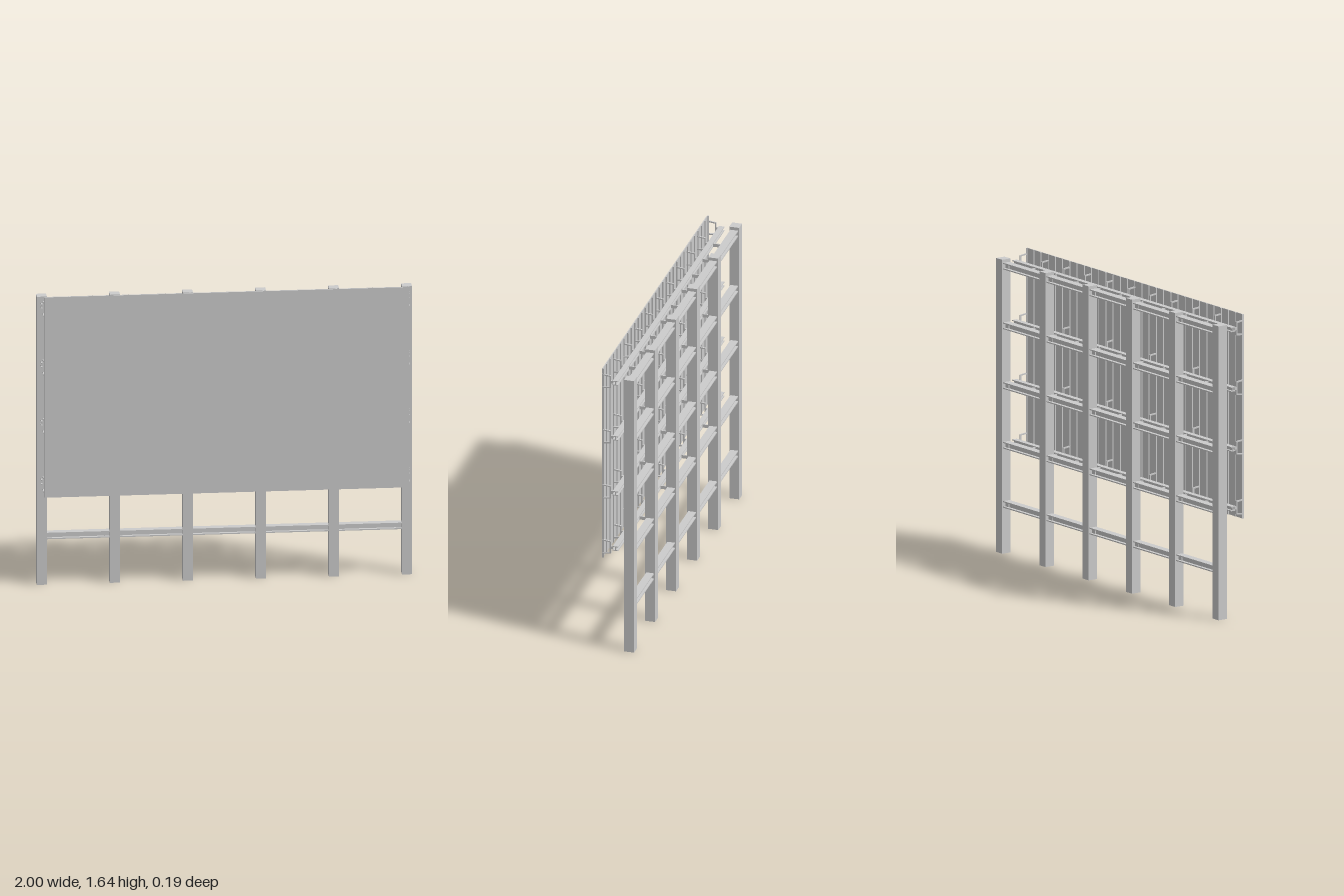
import * as THREE from 'three';

const material = new THREE.MeshStandardMaterial({ color: 0xcccccc, flatShading: true });

export function createModel() {
  const model = new THREE.Group();

  const add = (geometry, name, x, y, z) => {
    const mesh = new THREE.Mesh(geometry, material);
    mesh.name = name;
    mesh.position.set(x, y, z);
    model.add(mesh);
    return mesh;
  };
  const box = (name, w, h, d, x, y, z) => add(new THREE.BoxGeometry(w, h, d), name, x, y, z);

  // Section drawn in (z, y), extruded along x and centred
  const alongX = (points, length) => {
    const shape = new THREE.Shape(points.map(([z, y]) => new THREE.Vector2(-z, y)));
    return new THREE.ExtrudeGeometry(shape, { depth: length, bevelEnabled: false })
      .translate(0, 0, -length / 2)
      .rotateY(Math.PI / 2);
  };

  // I-section with flanges at top and bottom
  const iBeam = (length, depth, height, t) => {
    const d = depth / 2, h = height / 2, w = t / 2;
    return alongX([
      [-d, -h], [d, -h], [d, -h + t], [w, -h + t], [w, h - t], [d, h - t],
      [d, h], [-d, h], [-d, h - t], [-w, h - t], [-w, -h + t], [-d, -h + t],
    ], length);
  };

  const bay = 0.3892, postWidth = 0.054, postZ = -0.0655;
  const railLevels = [0.59, 0.915, 1.24, 1.565];

  // Posts
  for (let i = 0; i < 6; i++) {
    box('post', postWidth, 1.6, 0.055, (i - 2.5) * bay, 0.8, postZ);
  }

  // Cross beams between posts, with connection cleats at their ends
  const beamLength = bay - postWidth;
  const beam = iBeam(beamLength, 0.042, 0.036, 0.006);
  for (const y of [0.268, ...railLevels]) {
    for (let i = 0; i < 5; i++) {
      const x = (i - 2) * bay;
      add(beam, 'crossBeam', x, y, postZ);
      for (const s of [-1, 1]) {
        box('beamCleat', 0.03, 0.024, 0.014, x + s * (beamLength / 2 - 0.015), y, postZ);
      }
    }
  }

  // Clip holding the panel: slanted legs joined by an upright back
  const clip = alongX([
    [0.09, -0.042], [0.042, -0.036], [0.042, 0.036], [0.09, 0.042],
    [0.09, 0.035], [0.049, 0.03], [0.049, -0.03], [0.09, -0.035],
  ], 0.008);
  const rail = iBeam(1.966, 0.03, 0.026, 0.005);

  for (const y of railLevels) {
    // Front rail
    add(rail, 'frontRail', 0, y, 0.015);
    for (let i = -5; i <= 5; i++) {
      const x = i * bay / 2;
      add(clip, 'panelClip', x, y, 0);
      box('clipStub', 0.008, 0.016, 0.016, x, y, 0.037);
      // Arms tying the rail to the posts and beams
      if (Math.abs(i) < 5) box('railArm', 0.008, 0.018, 0.05, x, y, -0.024);
    }
  }

  // Display panel and its rear ribs
  box('panel', 1.946, 1.112, 0.005, 0, 1.08, 0.0905);
  for (let i = -15; i <= 15; i++) {
    const x = THREE.MathUtils.clamp(i * bay / 6, -0.97, 0.97);
    box('panelRib', 0.006, 1.112, 0.006, x, 1.08, 0.085);
  }

  return model;
}
